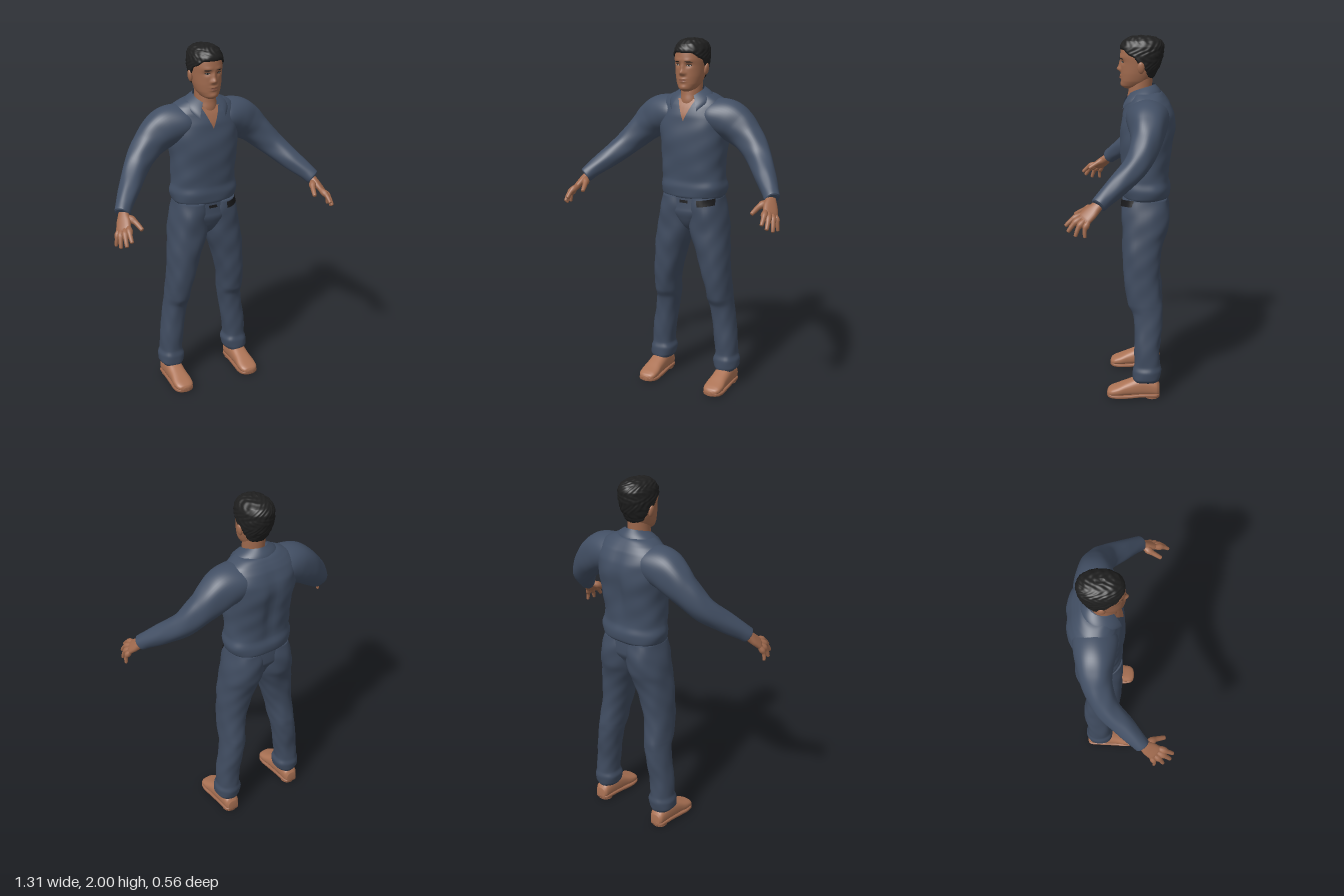
import * as THREE from 'three';
import { ParametricGeometry } from 'three/addons/geometries/ParametricGeometry.js';

const V = (x, y, z) => new THREE.Vector3(x, y, z);
const paint = (name, color, side = THREE.FrontSide) => {
  const m = new THREE.MeshStandardMaterial({ color, side });
  m.name = name;
  return m;
};
const gauss = (d, s) => Math.exp(-(d * d) / (s * s));

// Smooth skin over sections [x, y, z, radiusU, radiusV]; rings follow the path unless dir is fixed.
function loft(sections, { u, dir, power = 2, rows = 40, sides = 40, fold = 0, warp } = {}) {
  const path = new THREE.CatmullRomCurve3(sections.map(s => V(s[0], s[1], s[2])));
  const radii = new THREE.CatmullRomCurve3(sections.map(s => V(s[3], s[4], 0)));
  const pos = [], index = [];
  for (let i = 0; i <= rows; i++) {
    const c = path.getPoint(i / rows), r = radii.getPoint(i / rows);
    const d = dir ?? path.getTangent(i / rows);
    const a1 = u.clone().addScaledVector(d, -u.dot(d)).normalize();
    const a2 = a1.clone().cross(d);
    for (let j = 0; j < sides; j++) {
      const a = j / sides * Math.PI * 2, co = Math.cos(a), si = Math.sin(a);
      const k = 1 + fold * (Math.sin(c.y * 42 + 2 * a) * Math.cos(3 * a + c.y * 9) + 0.6 * Math.sin(5 * a - c.y * 23));
      const p = c.clone()
        .addScaledVector(a1, k * r.x * Math.sign(co) * Math.abs(co) ** (2 / power))
        .addScaledVector(a2, k * r.y * Math.sign(si) * Math.abs(si) ** (2 / power));
      if (warp) warp(p);
      pos.push(p.x, p.y, p.z);
    }
  }
  for (let i = 0; i < rows; i++) for (let j = 0; j < sides; j++) {
    const a = i * sides + j, b = i * sides + (j + 1) % sides;
    index.push(a, a + sides, b, b, a + sides, b + sides);
  }
  // end caps
  const first = sections[0], last = sections.at(-1), n = pos.length / 3, top = rows * sides;
  pos.push(first[0], first[1], first[2], last[0], last[1], last[2]);
  for (let j = 0; j < sides; j++) {
    const k = (j + 1) % sides;
    index.push(n, j, k, n + 1, top + k, top + j);
  }
  const g = new THREE.BufferGeometry();
  g.setAttribute('position', new THREE.Float32BufferAttribute(pos, 3));
  g.setIndex(index);
  g.computeVertexNormals();
  return g;
}

const X = V(1, 0, 0), Y = V(0, 1, 0), Z = V(0, 0, 1);
// Horizontal section from extents: height, x range, z front and back
const slab = ([y, x0, x1, zf, zb]) => [(x0 + x1) / 2, y, (zf + zb) / 2, (x1 - x0) / 2, (zf - zb) / 2];
const upright = (rows, opts) => loft(rows.map(slab), { u: X, dir: Y, ...opts });
const symmetric = rows => rows.map(([y, w, zf, zb]) => [y, -w, w, zf, zb]);

function mirror(g) {
  const m = g.clone().scale(-1, 1, 1), ix = m.index.array;
  for (let i = 0; i < ix.length; i += 3) [ix[i], ix[i + 1]] = [ix[i + 1], ix[i]];
  m.computeVertexNormals();
  return m;
}

// Lays a flat shape on the front of the given meshes
function drape(g, targets, lift = 0.004) {
  const p = g.attributes.position;
  for (let i = 0; i < p.count; i++) {
    const ray = new THREE.Raycaster(V(p.getX(i), p.getY(i), 2), V(0, 0, -1));
    const hit = ray.intersectObjects(targets)[0];
    p.setZ(i, (hit ? hit.point.z : -.08) + lift);
  }
  g.computeVertexNormals();
  return g;
}

export function createModel() {
  const root = new THREE.Group();
  root.name = 'standingMan';
  const mat = {
    shirt: paint('shirtBlue', 0x424f64, THREE.DoubleSide), trousers: paint('trouserBlue', 0x3f4b5f),
    skin: paint('skin', 0xa06a4e), lips: paint('lips', 0x8c5845), hair: paint('hair', 0x1f1f1f),
    shoe: paint('shoeLeather', 0xac7355), sole: paint('shoeSole', 0x9c664b),
    belt: paint('beltBlack', 0x1a1a1c), eye: paint('eyeWhite', 0xb8aca2)
  };
  const add = (name, g, m) => {
    const mesh = new THREE.Mesh(g, m);
    mesh.name = name;
    root.add(mesh);
    return mesh;
  };
  const pair = (name, g, m) => [add('left' + name, g, m), add('right' + name, mirror(g), m)];

  // Shirt body with a shallow groove down the spine
  const shirt = add('shirtBody', upright(symmetric([
    [1.115, .165, .0, -.23], [1.135, .184, .014, -.248], [1.18, .194, .018, -.252], [1.23, .184, .012, -.243],
    [1.3, .183, .02, -.247], [1.4, .19, .026, -.262], [1.5, .202, .026, -.277], [1.58, .204, .012, -.272],
    [1.64, .19, -.01, -.246], [1.672, .165, -.028, -.222], [1.698, .115, -.04, -.198], [1.71, .06, -.05, -.17]
  ]), {
    power: 2.4, rows: 70, sides: 72, fold: .014,
    warp: p => { if (p.z < -.12) p.z += .02 * gauss(p.x, .035) * gauss(p.y - 1.42, .16); }
  }), mat.shirt);

  // Sleeves, rooted deep in the body so the shoulders run on smoothly
  pair('Sleeve', loft([
    [.05, 1.575, -.125, .09, .08], [.13, 1.578, -.126, .116, .1], [.21, 1.563, -.128, .107, .11],
    [.27, 1.528, -.127, .093, .103], [.33, 1.475, -.116, .08, .087], [.42, 1.382, -.073, .066, .07],
    [.5, 1.3, .018, .057, .057], [.56, 1.24, .087, .045, .045], [.582, 1.215, .113, .041, .042], [.585, 1.212, .116, .034, .034]
  ], { u: Z, rows: 64, sides: 48, fold: .025 }), mat.shirt);

  // Trousers: hips and legs
  const hips = add('trouserHips', upright(symmetric([
    [.915, .012, -.07, -.15], [.95, .045, -.025, -.185], [1.0, .1, .004, -.21], [1.06, .165, .014, -.238], [1.15, .165, .006, -.232]
  ]), { power: 2.4 }), mat.trousers);
  const legs = pair('TrouserLeg', upright([
    [.1, .155, .268, -.055, -.198], [.12, .142, .283, -.05, -.205], [.16, .136, .284, -.05, -.21],
    [.2, .147, .272, -.06, -.203], [.3, .136, .268, -.06, -.2], [.4, .124, .252, -.058, -.212],
    [.49, .11, .241, -.05, -.216], [.54, .104, .238, -.022, -.214], [.6, .096, .234, -.01, -.204], [.7, .074, .231, .003, -.196],
    [.8, .044, .226, .008, -.202], [.9, .006, .217, .012, -.222], [.96, -.012, .209, .013, -.24],
    [1.05, -.016, .193, .016, -.25], [1.13, -.01, .172, .01, -.232]
  ], { power: 2.3, rows: 90, fold: .02 }), mat.trousers);

  // Visible pieces of the belt
  const front = [shirt, hips, ...legs];
  add('beltEnd', drape(new THREE.PlaneGeometry(.085, .036, 20, 4).rotateZ(.12).translate(.127, 1.106, 0), front), mat.belt);
  add('beltBuckle', drape(new THREE.PlaneGeometry(.05, .016, 8, 2).translate(0, 1.106, 0), front), mat.belt);

  // Shoes: upper, sole and heel, lofted from heel to toe
  const shoeRows = [[-.203, .03, .075], [-.185, .043, .1], [-.1, .049, .125], [-.02, .051, .096],
    [.03, .056, .073], [.066, .052, .058], [.086, .037, .046], [.093, .015, .034]];
  const along = { u: X, dir: Z, power: 2.5, rows: 36, sides: 32 };
  pair('Shoe', loft(shoeRows.map(([z, w, h]) => [.214, (h + .012) / 2, z, w, (h - .012) / 2]), along), mat.shoe);
  pair('Sole', loft(shoeRows.map(([z, w]) => [.214, z > -.06 ? .012 + Math.max(0, z - .05) * .12 : .02, z, w + .002, .011]),
    { ...along, power: 4 }), mat.sole);
  pair('Heel', new THREE.CylinderGeometry(.042, .042, .02, 24).scale(1, 1, .95).translate(.214, .01, -.16), mat.sole);

  // Hands: palm, four fingers and thumb
  const across = V(-.048, .025, .055).normalize();
  pair('Palm', loft([
    [.566, 1.228, .098, .026, .021], [.58, 1.203, .126, .032, .022], [.592, 1.18, .152, .041, .02],
    [.605, 1.155, .18, .043, .017], [.612, 1.142, .194, .037, .011]
  ], { u: across, rows: 20, sides: 24, power: 2.3 }), mat.skin);
  const fingers = {
    IndexFinger: [[.582, 1.17, .19], [.596, 1.144, .243], [.6, 1.112, .278], .0125],
    MiddleFinger: [[.598, 1.16, .185], [.617, 1.127, .235], [.623, 1.088, .264], .013],
    RingFinger: [[.612, 1.152, .174], [.634, 1.115, .209], [.641, 1.07, .226], .0122],
    LittleFinger: [[.622, 1.147, .158], [.642, 1.108, .178], [.648, 1.066, .178], .011],
    Thumb: [[.574, 1.2, .132], [.543, 1.183, .18], [.524, 1.152, .234], .0145]
  };
  for (const [name, [a, b, c, r]] of Object.entries(fingers)) {
    const tip = c.map((v, i) => v + (c[i] - b[i]) * .06);
    pair(name, loft([[...a, r, r], [...b, r, r], [...c, r * .75, r * .75], [...tip, r * .2, r * .2]],
      { u: across, rows: 16, sides: 14 }), mat.skin);
  }

  // Neck and the open V of the shirt
  add('neck', upright(symmetric([[1.6, .068, -.02, -.15], [1.66, .062, -.012, -.15], [1.7, .058, -.018, -.145],
    [1.79, .06, -.03, -.15]])), mat.skin);
  const vee = new THREE.PlaneGeometry(1, .115, 10, 12).translate(0, 1.6175, 0);
  for (let i = 0, p = vee.attributes.position; i < p.count; i++) p.setX(i, p.getX(i) * (p.getY(i) - 1.558) * .9);
  add('openNeck', drape(vee, [shirt]), mat.skin);

  // Folded collar, from one front point round the back to the other
  add('collar', new ParametricGeometry((s, v, out) => {
    const t = s * 2 - 1, a = t * Math.PI * .79, w = Math.sin(v * Math.PI / 2);
    out.set(Math.sin(a) * (.066 + .058 * w), THREE.MathUtils.lerp(1.742 - .045 * t * t, 1.685 - .07 * t ** 4, v),
      -.088 - Math.cos(a) * (.074 + (.036 + .014 * t * t) * w));
  }, 48, 8), mat.shirt);

  // Head with modelled brow, eye sockets, nose, lips and chin
  const headRows = symmetric([
    [1.718, .02, .0, -.07], [1.732, .046, .019, -.11], [1.76, .064, .021, -.135], [1.8, .075, .022, -.16],
    [1.85, .082, .022, -.185], [1.9, .086, .026, -.2], [1.94, .083, .02, -.204], [1.968, .07, .002, -.19],
    [1.985, .046, -.028, -.158], [1.992, .012, -.07, -.11]
  ]);
  const head = add('head', upright(headRows, {
    power: 2.15, rows: 80, sides: 96,
    warp: p => {
      if (p.z < -.04) return;
      const x = Math.abs(p.x), bump = (cx, cy, sx, sy, h) => h * gauss(x - cx, sx) * gauss(p.y - cy, sy);
      p.z += bump(0, 1.822, .013, .014, .02) + bump(0, 1.848, .01, .022, .011) + bump(.013, 1.817, .008, .008, .006)
        + bump(.03, 1.886, .025, .01, .004) + bump(.033, 1.862, .018, .012, -.008)
        + bump(0, 1.787, .022, .007, .006) + bump(0, 1.773, .02, .006, .006) + bump(0, 1.742, .022, .012, .005);
    }
  }), mat.skin);
  pair('Ear', new THREE.SphereGeometry(1, 20, 14).scale(.011, .032, .019).rotateZ(-.15).translate(.088, 1.836, -.088), mat.skin);

  // Hair: the skull form pushed out above the hairline and tucked in below it
  const hairline = [[-.16, 1.765], [-.125, 1.785], [-.1, 1.845], [-.075, 1.85], [-.05, 1.888], [-.02, 1.9], [.005, 1.925], [.1, 1.925]];
  const lineAt = z => {
    const i = hairline.findIndex(h => h[0] > z);
    if (i < 1) return hairline[0][1];
    const [a, b] = [hairline[i - 1], hairline[i]];
    return THREE.MathUtils.mapLinear(z, a[0], b[0], a[1], b[1]);
  };
  add('hair', upright(headRows, {
    power: 2.15, rows: 90, sides: 110,
    warp: p => {
      const k = THREE.MathUtils.smoothstep(p.y - lineAt(p.z), -.006, .006);
      const curl = .0022 * Math.sin(p.x * 140 + 3 * Math.sin(p.y * 61)) * Math.sin(p.z * 150 + 3 * Math.sin(p.x * 47 + p.y * 70));
      const out = p.clone().sub(V(0, 1.87, -.085)).normalize();
      p.addScaledVector(out, THREE.MathUtils.lerp(-.014, .0075 + curl, k));
    }
  }), mat.hair);

  // Painted face details
  const spot = (x, y, w, h, tilt = 0) => drape(new THREE.CircleGeometry(1, 20).scale(w, h, 1).rotateZ(tilt).translate(x, y, 0), [head], .003);
  pair('EyeOutline', spot(.034, 1.862, .014, .0055), mat.hair);
  pair('EyeWhite', spot(.034, 1.861, .011, .0038).translate(0, 0, .0015), mat.eye);
  pair('Iris', spot(.034, 1.861, .0045, .0045).translate(0, 0, .003), mat.hair);
  pair('Eyebrow', spot(.035, 1.88, .018, .003, -.08), mat.hair);
  add('mouth', spot(0, 1.78, .022, .007), mat.lips);
  return root;
}
